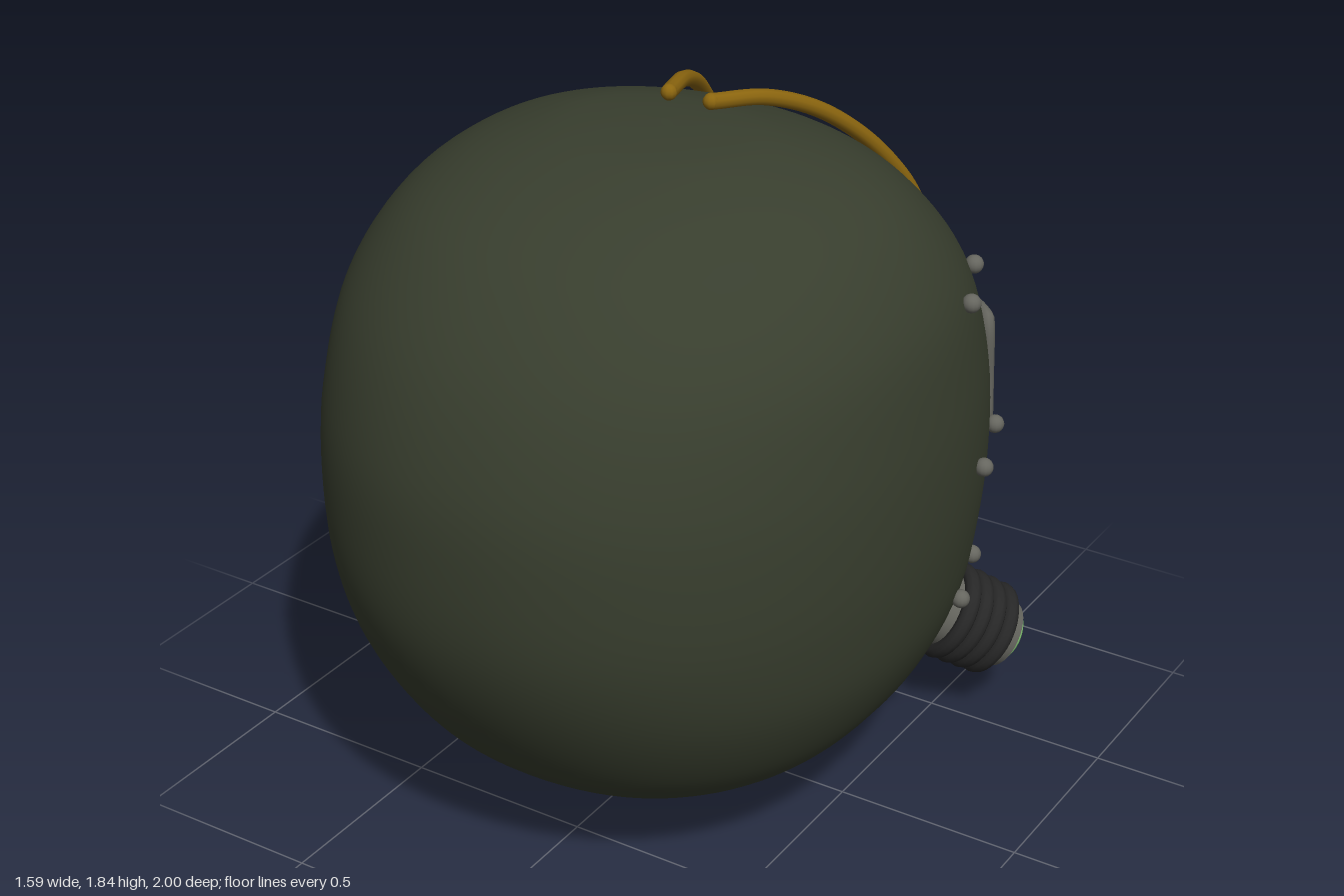
import * as THREE from 'three';

const mat = (name, color, side = THREE.FrontSide) => {
  const m = new THREE.MeshStandardMaterial({ color, side });
  m.name = name;
  return m;
};

// Shell rings from neck to crown: [y, half width, front z, back z, neck drop]
const RINGS = [
  [0.155, 0.34, -0.43, 0.5, 1], [0.22, 0.5, -0.6, 0.62, 0.6], [0.35, 0.63, -0.69, 0.77, 0.3],
  [0.55, 0.732, -0.755, 0.9, 0.1], [0.76, 0.772, -0.787, 0.98, 0], [0.98, 0.785, -0.795, 1, 0],
  [1.2, 0.775, -0.757, 0.98, 0], [1.43, 0.735, -0.64, 0.89, 0], [1.61, 0.63, -0.48, 0.74, 0],
  [1.72, 0.49, -0.33, 0.56, 0], [1.785, 0.31, -0.15, 0.36, 0], [1.805, 0.16, -0.03, 0.21, 0],
  [1.81, 0, 0.08, 0.08, 0],
];
const ZC = 0.08, POWER = 2.12;
const V = (x, y, z) => new THREE.Vector3(x, y, z);
const spline = (pts, closed = false) => new THREE.CatmullRomCurve3(pts, closed, 'catmullrom', 0.5);
const sizes = spline(RINGS.map(r => V(r[0], r[1], r[4])));
const depths = spline(RINGS.map(r => V(r[2], r[3], 0)));
const bend = v => Math.sign(v) * Math.abs(v) ** (2 / POWER);

// Point on the shell; angle 0 is the visor side (-z)
function shellPoint(angle, t, offset = 0) {
  const s = sizes.getPoint(t), d = depths.getPoint(t);
  const c = Math.cos(angle);
  const depth = c > 0 ? ZC - d.x : d.y - ZC;
  const x = s.y * bend(Math.sin(angle)), z = ZC - depth * bend(c);
  const y = s.x - 0.13 * s.z * Math.max(0, (0.1 - z) / 0.53) ** 1.1;
  const n = offset ? V(x / s.y ** 2, 0, (z - ZC) / depth ** 2).normalize() : V(0, 0, 0);
  return V(x, y, z).addScaledVector(n, offset);
}

function levelAt(y) {
  let lo = 0, hi = 1;
  for (let i = 0; i < 30; i++) {
    const mid = (lo + hi) / 2;
    if (sizes.getPoint(mid).x < y) lo = mid; else hi = mid;
  }
  return lo;
}
const onShell = (angle, y, offset) => shellPoint(angle, levelAt(y), offset);

// Surface from a grid of points, optionally wrapped around
function grid(fn, nu, nv, wrap) {
  const pos = [], idx = [], cols = wrap ? nu : nu + 1;
  for (let j = 0; j <= nv; j++)
    for (let i = 0; i < cols; i++) pos.push(...fn(i / nu, j / nv).toArray());
  for (let j = 0; j < nv; j++)
    for (let i = 0; i < nu; i++) {
      const k = (i + 1) % cols, a = j * cols + i, b = j * cols + k;
      idx.push(a, a + cols, b, b, a + cols, b + cols);
    }
  const g = new THREE.BufferGeometry();
  g.setAttribute('position', new THREE.Float32BufferAttribute(pos, 3));
  g.setIndex(idx);
  g.computeVertexNormals();
  return g;
}

export function createModel() {
  const shellMat = mat('olive shell', 0x383e2e, THREE.DoubleSide);
  const black = mat('black rubber', 0x272727);
  const grey = mat('grey metal', 0x66665f);
  const yellow = mat('ochre strips', 0x8c660f);
  const glass = mat('visor glass', 0x3a6b52, THREE.DoubleSide);
  const green = mat('green lens', 0x8ad27a);

  const model = new THREE.Group();
  const add = (parent, name, geo, material, x = 0, y = 0, z = 0) => {
    const m = new THREE.Mesh(geo, material);
    m.name = name;
    m.position.set(x, y, z);
    parent.add(m);
    return m;
  };
  const tube = (name, pts, r, material, closed = false, segs = 40) => {
    add(model, name, new THREE.TubeGeometry(spline(pts, closed), segs, r, 10, closed), material);
    // round caps on open tubes
    if (!closed) for (const p of [pts[0], pts[pts.length - 1]])
      add(model, name + 'End', new THREE.SphereGeometry(r, 10, 8), material, p.x, p.y, p.z);
  };
  // Group whose +y axis points along a direction
  const aimed = (name, at, dir) => {
    const g = new THREE.Group();
    g.name = name;
    g.position.copy(at);
    g.quaternion.setFromUnitVectors(V(0, 1, 0), dir.clone().normalize());
    model.add(g);
    return g;
  };

  // Helmet shell and neck rim
  add(model, 'shell', grid((u, v) => shellPoint(u * Math.PI * 2, v), 96, 72, true), shellMat);
  const rim = [];
  for (let i = 0; i < 48; i++) rim.push(shellPoint(i / 48 * Math.PI * 2, 0));
  tube('neckRim', rim, 0.021, black, true, 96);

  // Visor glass, frame and bars
  const A = Math.PI / 4, LOW = 0.85, HIGH = 1.17;
  add(model, 'visorGlass', grid((u, v) =>
    onShell((u * 2 - 1) * A, LOW + v * (HIGH - LOW), 0.007), 40, 8, false), glass);
  const frame = [];
  for (let i = 0; i <= 16; i++) frame.push(onShell((i / 8 - 1) * A * 0.96, HIGH, 0.032));
  frame.push(onShell(A, HIGH - 0.03, 0.025), onShell(A, 1.01, 0.02), onShell(A, LOW + 0.03, 0.025));
  for (let i = 16; i >= 0; i--) frame.push(onShell((i / 8 - 1) * A * 0.96, LOW, 0.032));
  frame.push(onShell(-A, LOW + 0.03, 0.025), onShell(-A, 1.01, 0.02), onShell(-A, HIGH - 0.03, 0.025));
  tube('visorFrame', frame, 0.019, grey, true, 160);
  for (let i = 0; i < 8; i++) {
    const a = (i - 3.5) * A / 4.5;
    tube('visorBar', [LOW, 1.01, HIGH].map(y => onShell(a, y, 0.026)), 0.008, grey, false, 8);
  }

  // Front breather: tapered housing, disc and six studs
  const breather = aimed('breather', V(0, 0.3, -0.9), V(0, 0.14, -0.99));
  add(breather, 'breatherHousing', new THREE.CylinderGeometry(0.185, 0.235, 0.22, 40), black, 0, -0.11, 0);
  add(breather, 'breatherDisc', new THREE.CylinderGeometry(0.182, 0.193, 0.055, 40), grey, 0, 0.027, 0);
  for (let i = 0; i < 6; i++) {
    const a = i / 6 * Math.PI * 2;
    add(breather, 'breatherStud', new THREE.CylinderGeometry(0.024, 0.024, 0.034, 12), black,
      Math.cos(a) * 0.1, 0.066, Math.sin(a) * 0.1);
  }

  for (const s of [1, -1]) {
    // Ribbed side canister with a domed lens
    const can = aimed('canister', V(s * 0.5, 0.32, -0.5), V(s * 0.64, -0.5, -0.58));
    add(can, 'canisterBase', new THREE.CylinderGeometry(0.105, 0.105, 0.04, 32), grey, 0, 0.005, 0);
    add(can, 'canisterBody', new THREE.CylinderGeometry(0.112, 0.115, 0.16, 32), black, 0, 0.1, 0);
    for (let i = 0; i < 4; i++) {
      const rib = add(can, 'canisterRib', new THREE.TorusGeometry(0.114 - i * 0.002, 0.023, 10, 36),
        black, 0, 0.04 + i * 0.043, 0);
      rib.rotation.x = Math.PI / 2;
    }
    add(can, 'lensRing', new THREE.CylinderGeometry(0.092, 0.105, 0.045, 32), grey, 0, 0.2, 0);
    add(can, 'lens', new THREE.SphereGeometry(0.082, 28, 10, 0, Math.PI * 2, 0, Math.PI / 2), green, 0, 0.22, 0)
      .scale.y = 0.45;

    // Crown strip
    const path = [[-0.04, 1.825], [-0.2, 1.797], [-0.36, 1.725], [-0.51, 1.61], [-0.63, 1.475], [-0.71, 1.335]];
    tube('crownStrip', path.map(([z, y]) => V(s * (0.06 - (z + 0.04) * 0.37), y, z)), 0.021, yellow);

    // Rivets
    for (const [y, z] of [[1.41, -0.15], [1.41, -0.355], [0.97, -0.17], [0.97, -0.39], [0.59, -0.16], [0.59, -0.38]]) {
      const front = depths.getPoint(levelAt(y)).x;
      const a = Math.acos(((ZC - z) / (ZC - front)) ** (POWER / 2));
      const p = onShell(s * a, y, 0.014);
      add(model, 'rivet', new THREE.SphereGeometry(0.024, 14, 10), grey, p.x, p.y, p.z);
    }
  }
  return model;
}
